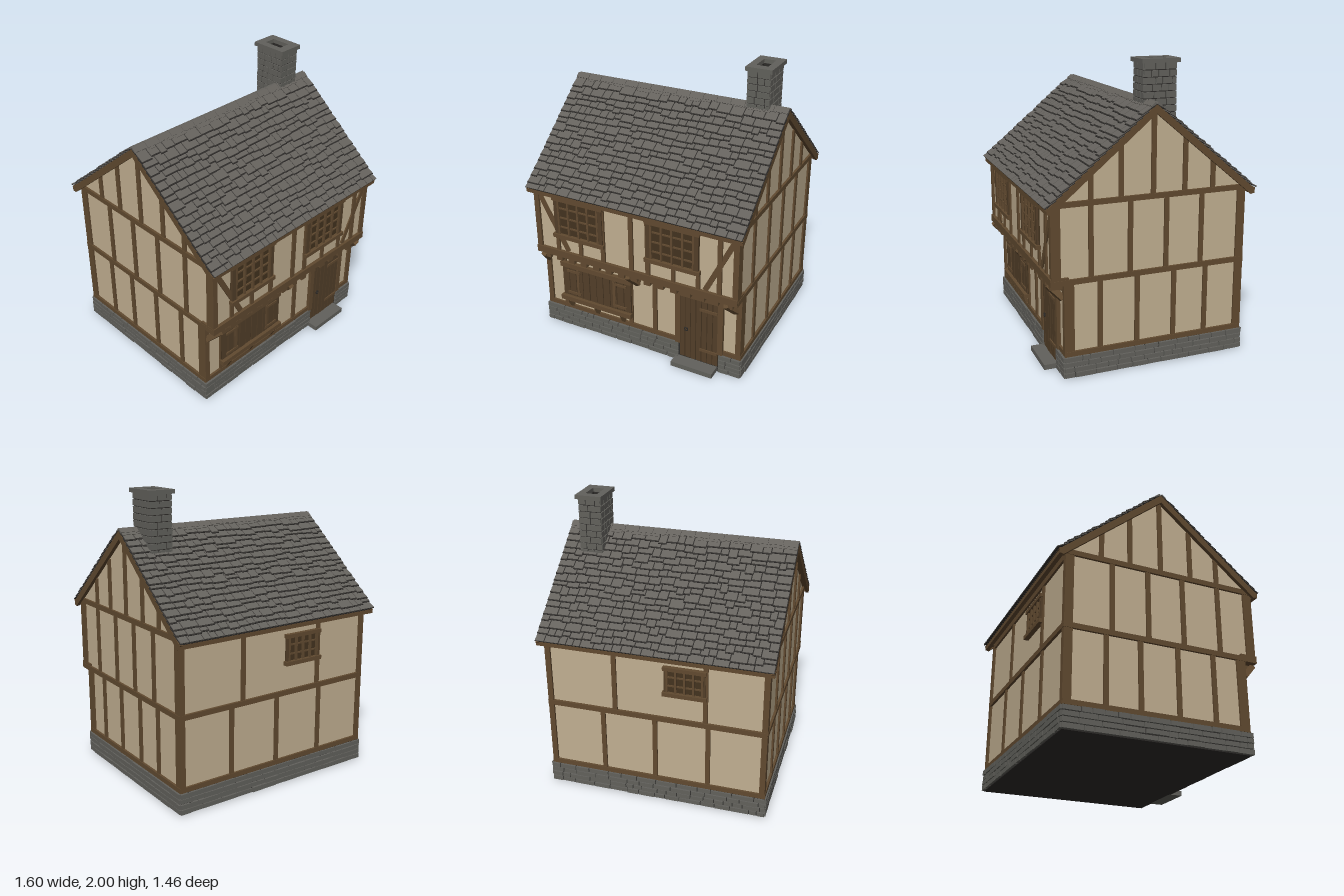
import * as THREE from 'three';
import { mergeGeometries } from 'three/addons/utils/BufferGeometryUtils.js';

const mat = (name, color) => {
  const m = new THREE.MeshStandardMaterial({ color });
  m.name = name;
  return m;
};

export function createModel() {
  const plaster = mat('plaster', 0xc2b092), timber = mat('timber', 0x614a30);
  const plank = mat('plank', 0x533f29), pane = mat('pane', 0x44331f);
  const stone = mat('stone', 0x62615c), slate = mat('slate', 0x65625d), joint = mat('joint', 0x2d2b29);

  let seed = 7;
  const rand = (a, b) => {
    seed = (seed * 16807) % 2147483647;
    return a + (b - a) * seed / 2147483647;
  };
  const model = new THREE.Group();
  model.name = 'timberFramedHouse';

  // Parts are lists of geometries, merged into one mesh each at the end
  const parts = new Map();
  const add = (name, material, geo) => {
    if (!parts.has(name)) parts.set(name, { material, list: [] });
    parts.get(name).list.push(geo);
    return geo;
  };
  const box = (name, m, x0, x1, y0, y1, z0, z1) => add(name, m,
    new THREE.BoxGeometry(x1 - x0, y1 - y0, z1 - z0).translate((x0 + x1) / 2, (y0 + y1) / 2, (z0 + z1) / 2));
  const brace = (name, ax, ay, bx, by, w, z0, z1) => add(name, timber,
    new THREE.BoxGeometry(w, Math.hypot(bx - ax, by - ay), z1 - z0)
      .rotateZ(-Math.atan2(bx - ax, by - ay)).translate((ax + bx) / 2, (ay + by) / 2, (z0 + z1) / 2));
  const mesh = (name, material, geo) => {
    const m = new THREE.Mesh(geo, material);
    m.name = name;
    model.add(m);
    return m;
  };

  // Coursed masonry on a vertical face: run along the face, turned by angle
  const courses = (name, length, y0, y1, rows, lo, hi, rough, angle, x, z) => {
    const h = (y1 - y0) / rows;
    for (let r = 0; r < rows; r++) {
      for (let u = -length / 2; u < length / 2 - 0.001;) {
        let w = rand(lo, hi);
        if (length / 2 - u - w < lo * 0.6) w = length / 2 - u;
        const d = 0.014 + rand(0, rough);
        add(name, stone, new THREE.BoxGeometry(w - 0.006, h - 0.006 + rand(-rough, rough) * 0.4, d)
          .translate(u + w / 2, y0 + (r + 0.5) * h, -0.007 + d / 2 - 0.007).rotateY(angle).translate(x, 0, z));
        u += w;
      }
    }
  };

  // Stone plinth with a gap at the door
  box('plinthCore', joint, -0.768, 0.765, 0, 0.148, -0.658, 0.598);
  courses('plinthStones', 1.09, 0.004, 0.15, 4, 0.05, 0.16, 0.006, 0, -0.235, 0.61);
  courses('plinthStones', 0.165, 0.004, 0.15, 4, 0.05, 0.1, 0.006, 0, 0.693, 0.61);
  courses('plinthStones', 1.55, 0.004, 0.15, 4, 0.05, 0.16, 0.006, Math.PI, 0, -0.668);
  for (const s of [-1, 1])
    courses('plinthStones', 1.27, 0.004, 0.15, 4, 0.05, 0.16, 0.006, s * Math.PI / 2, s * 0.777, -0.03);
  box('doorStep', stone, 0.29, 0.6, 0, 0.035, 0.59, 0.69);

  // Plaster walls, upper storey jettied forward, and gable
  box('lowerWalls', plaster, -0.755, 0.755, 0.14, 0.64, -0.647, 0.587);
  box('upperWalls', plaster, -0.755, 0.755, 0.635, 1.152, -0.647, 0.667);
  const gable = new THREE.Shape([[-0.66, 1.15], [0.66, 1.15], [0, 1.7]].map(p => new THREE.Vector2(...p)));
  mesh('gableWalls', plaster, new THREE.ExtrudeGeometry(gable, { depth: 1.51, bevelEnabled: false })
    .rotateY(-Math.PI / 2).translate(0.755, 0, 0));

  // Corner posts
  for (const s of [-1, 1]) {
    const [a, b] = s > 0 ? [0.73, 0.768] : [-0.768, -0.73];
    box('cornerPosts', timber, a, b, 0.15, 0.64, 0.535, 0.602);
    box('cornerPosts', timber, a, b, 0.64, 1.14, 0.62, 0.683);
    box('cornerPosts', timber, a, b, 0.15, 1.14, -0.662, -0.605);
  }

  // Side framing: rails, studs and gable studs on both ends
  for (const s of [-1, 1]) {
    const [a, b] = s > 0 ? [0.74, 0.768] : [-0.768, -0.74];
    const rail = (y0, y1, z0, z1) => box('sideRails', timber, a - 0.003, b + 0.003, y0, y1, z0, z1);
    const stud = (z, y0, y1) => box('sideStuds', timber, a, b, y0, y1, z - 0.016, z + 0.016);
    rail(0.15, 0.183, -0.66, 0.6);
    rail(0.635, 0.67, -0.662, 0.68);
    rail(1.135, 1.17, -0.68, 0.68);
    for (const z of [0.36, 0.105, -0.155, -0.385]) stud(z, 0.17, 0.64);
    for (const z of [0.42, 0.155, -0.095, -0.345]) stud(z, 0.66, 1.14);
    for (const z of [0.42, 0.22, 0, -0.22, -0.42]) stud(z, 1.16, 1.7 - Math.abs(z) * 0.833);
  }

  // Back framing
  box('backRails', timber, -0.765, 0.765, 0.15, 0.183, -0.662, -0.63);
  box('backRails', timber, -0.765, 0.765, 0.635, 0.67, -0.665, -0.63);
  box('backRails', timber, -0.765, 0.765, 1.11, 1.15, -0.662, -0.63);
  for (const x of [0.37, 0, -0.37]) box('backStuds', timber, x - 0.016, x + 0.016, 0.17, 0.64, -0.659, -0.63);
  for (const x of [0.28, -0.35]) box('backStuds', timber, x - 0.016, x + 0.016, 0.66, 1.12, -0.659, -0.63);

  // Front framing, upper storey
  box('jettyBeam', timber, -0.77, 0.768, 0.635, 0.685, 0.57, 0.69);
  box('frontTopPlate', timber, -0.765, 0.765, 1.1, 1.15, 0.64, 0.683);
  for (const x of [-0.23, -0.01, 0.115, 0.635]) box('frontStuds', timber, x - 0.016, x + 0.016, 0.68, 1.12, 0.65, 0.68);
  for (const x of [-0.595, -0.41, 0.305, 0.485]) box('frontStuds', timber, x - 0.014, x + 0.014, 0.68, 0.82, 0.65, 0.68);
  brace('braces', -0.725, 1.09, -0.515, 0.69, 0.036, 0.65, 0.677);
  brace('braces', 0.735, 1.1, 0.535, 0.69, 0.036, 0.65, 0.677);

  // Jetty joist ends and angled brackets
  for (let i = 0; i < 15; i++) {
    const x = -0.69 + i * 0.1;
    box('joistEnds', timber, x - 0.024, x + 0.024, 0.602, 0.64, 0.58, 0.684);
  }
  for (const [x, lean] of [[-0.73, 0.3], [-0.02, -0.35], [0.71, -0.45]]) {
    add('brackets', timber, new THREE.BoxGeometry(0.036, 0.13, 0.04)
      .rotateX(0.72).rotateZ(-lean).translate(x, 0.583, 0.642));
  }

  // Front framing, lower storey
  box('lowerTopPlate', timber, -0.76, 0.76, 0.585, 0.637, 0.57, 0.602);
  box('sillRail', timber, -0.765, 0.3, 0.15, 0.182, 0.57, 0.602);
  box('sillRail', timber, 0.62, 0.765, 0.15, 0.182, 0.57, 0.602);
  for (const x of [-0.615, -0.07, 0.122]) box('frontStuds', timber, x - 0.016, x + 0.016, 0.17, 0.6, 0.57, 0.6);

  // Windows: dark panes behind a frame and a grid of bars
  const windowAt = (x0, x1, y0, y1, z, dir, cols, rows, side) => {
    const b = (m, name, ax, bx, ay, by, d) => {
      const zs = [z, z + dir * d].sort((p, q) => p - q);
      box(name, m, ax, bx, ay, by, zs[0], zs[1]);
    };
    b(pane, 'windowPanes', x0, x1, y0, y1, 0.009);
    b(timber, 'windowFrames', x0 - 0.012, x1 + 0.012, y0 - 0.012, y0 + 0.016, 0.034);
    b(timber, 'windowFrames', x0 - 0.008, x1 + 0.008, y1 - 0.014, y1 + 0.012, 0.03);
    b(plank, 'windowJambs', x0, x0 + side, y0, y1, 0.022);
    b(plank, 'windowJambs', x1 - side, x1, y0, y1, 0.022);
    const w = (x1 - x0 - 2 * side) / cols, h = (y1 - y0) / rows;
    for (let i = 0; i <= cols; i++) {
      const x = x0 + side + i * w;
      b(timber, 'windowBars', x - 0.007, x + 0.007, y0, y1, 0.024);
    }
    for (let j = 1; j < rows; j++) b(timber, 'windowBars', x0 + side, x1 - side, y0 + j * h - 0.005, y0 + j * h + 0.005, 0.018);
  };
  windowAt(-0.605, -0.225, 0.808, 1.095, 0.667, 1, 4, 4, 0.036);
  windowAt(0.11, 0.49, 0.808, 1.095, 0.667, 1, 4, 4, 0.036);
  windowAt(-0.35, -0.07, 0.855, 1.045, -0.647, -1, 4, 3, 0.02);

  // Shop shutter: planks, rails, hinges and supports
  const planks = (name, x0, x1, y0, y1, z0, z1, n) => {
    const w = (x1 - x0) / n;
    box(name + 'Back', pane, x0, x1, y0, y1, z0, z1 - 0.008);
    for (let i = 0; i < n; i++)
      box(name, plank, x0 + i * w + 0.003, x0 + (i + 1) * w - 0.003, y0, y1 + rand(-0.004, 0), z0, z1 - rand(0, 0.004));
  };
  planks('shutterPlanks', -0.625, -0.06, 0.26, 0.52, 0.59, 0.614, 10);
  box('shutterRails', timber, -0.635, -0.055, 0.51, 0.545, 0.59, 0.622);
  box('shutterRails', timber, -0.635, -0.055, 0.235, 0.27, 0.59, 0.636);
  for (const x of [-0.565, -0.345, -0.13])
    add('shutterSupports', timber, new THREE.BoxGeometry(0.028, 0.075, 0.024).rotateX(0.45).translate(x, 0.212, 0.61));
  for (const y of [0.3, 0.48]) {
    box('shutterHinges', timber, -0.585, -0.475, y - 0.009, y + 0.009, 0.61, 0.619);
    box('shutterHinges', timber, -0.2, -0.095, y - 0.009, y + 0.009, 0.61, 0.619);
  }
  for (const x of [-0.495, -0.195]) box('shutterHinges', timber, x - 0.01, x + 0.01, 0.285, 0.5, 0.61, 0.617);

  // Door with frame, strap hinges and ring handle
  planks('doorPlanks', 0.318, 0.605, 0.045, 0.555, 0.585, 0.608, 7);
  box('doorFrame', timber, 0.285, 0.322, 0.15, 0.6, 0.57, 0.612);
  box('doorFrame', timber, 0.602, 0.64, 0.15, 0.6, 0.57, 0.612);
  box('doorFrame', timber, 0.28, 0.645, 0.548, 0.602, 0.57, 0.616);
  for (const y of [0.145, 0.475]) box('doorHinges', timber, 0.47, 0.6, y - 0.01, y + 0.01, 0.605, 0.613);
  add('doorHandle', joint, new THREE.TorusGeometry(0.012, 0.004, 6, 12).translate(0.37, 0.285, 0.613));

  // Roof: each slope is built flat, then tilted and turned into place
  const pitch = Math.atan2(0.605, 0.725), slopeLen = 0.935;
  for (const turn of [0, Math.PI]) {
    const place = g => g.rotateX(pitch).rotateY(turn).translate(0, 1.735, 0);
    const flat = (name, m, ...d) => place(box(name, m, ...d));
    flat('roofBoards', timber, -0.785, 0.785, -0.022, 0, 0, slopeLen - 0.01);
    flat('roofUnderlay', joint, -0.79, 0.79, 0, 0.004, 0, slopeLen - 0.005);
    for (const s of [-1, 1])
      flat('bargeBoards', timber, s * 0.788 - 0.011, s * 0.788 + 0.011, -0.042, 0.002, 0, slopeLen);
    const rows = 18, p = slopeLen / rows, lift = 0.18;
    for (let r = 0; r < rows; r++) {
      for (let x = -0.8; x < 0.799;) {
        let w = rand(0.045, 0.115);
        if (0.8 - x - w < 0.04) w = 0.8 - x;
        const end = (r + 1) * p + (r < rows - 1 ? rand(-0.014, 0.012) : 0);
        const start = Math.max(0, r * p - 0.035);
        const tile = (name, m, gap, bottom, thick, extra) => place(add(name, m,
          new THREE.BoxGeometry(w - gap, thick, end + extra - start)
            .translate(0, bottom + thick / 2, (end + extra - start) / 2)
            .rotateX(-Math.atan(lift)).translate(x + w / 2, 0, start)));
        tile('slates', slate, 0.007, 0.001, 0.008, 0);
        tile('slateShadowGaps', joint, 0, 0, 0.0035, r < rows - 1 ? 0.007 : 0);
        x += w;
      }
    }
    // Eaves board and ridge slates
    const z = turn ? -0.7 : 0.7;
    box('eavesBoards', timber, -0.8, 0.8, 1.11, 1.15, z - 0.014, z + 0.014);
    for (let i = 0; i < 16; i++)
      flat('ridgeSlates', slate, -0.8 + i * 0.1, -0.703 + i * 0.1, 0.006, 0.018, -0.004, 0.032 + rand(0, 0.008));
  }

  // Chimney: hollow core, brick facing and cap
  const ring = (x0, x1, z0, z1, y0, y1) => {
    const rect = (C, a, b, c, d) => new C([[a, c], [b, c], [b, d], [a, d]].map(q => new THREE.Vector2(...q)));
    const s = rect(THREE.Shape, x0, x1, -z1, -z0);
    s.holes.push(rect(THREE.Path, 0.55, 0.632, 0.012, 0.15));
    return new THREE.ExtrudeGeometry(s, { depth: y1 - y0, bevelEnabled: false }).rotateX(-Math.PI / 2).translate(0, y0, 0);
  };
  mesh('chimneyCore', joint, ring(0.517, 0.665, -0.186, 0.031, 1.52, 1.97));
  mesh('chimneyCap', stone, ring(0.5, 0.685, -0.21, 0.052, 1.972, 2));
  box('chimneyFlueFloor', timber, 0.545, 0.637, 1.6, 1.77, -0.155, -0.007);
  for (const s of [-1, 1]) {
    courses('chimneyBricks', 0.16, 1.53, 1.974, 10, 0.045, 0.085, 0.002, s > 0 ? 0 : Math.PI, 0.591, -0.0775 + s * 0.114);
    courses('chimneyBricks', 0.226, 1.53, 1.974, 10, 0.045, 0.085, 0.002, s * Math.PI / 2, 0.591 + s * 0.08, -0.0775);
  }

  for (const [name, { material, list }] of parts) mesh(name, material, mergeGeometries(list));
  return model;
}
